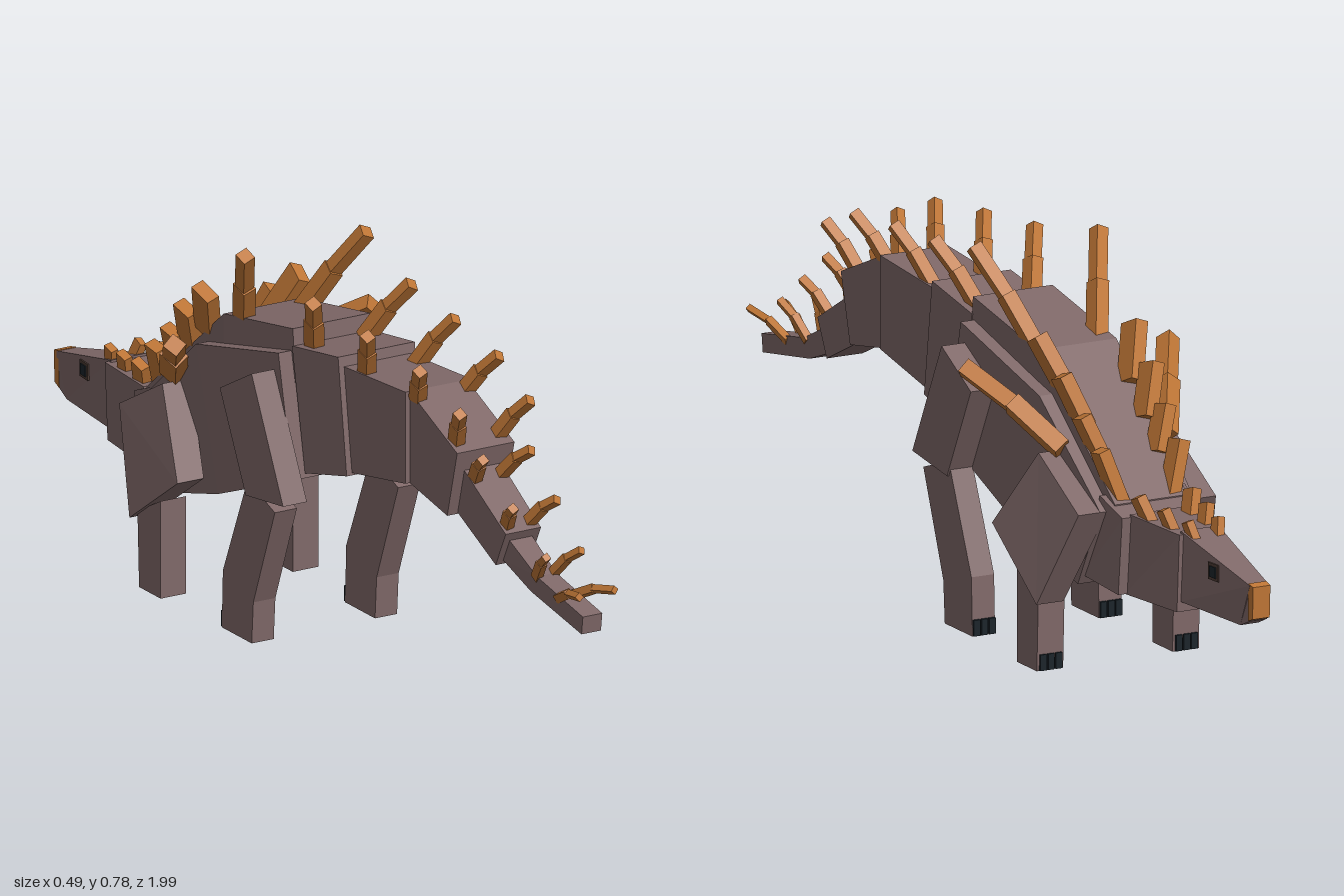
import * as THREE from 'three';

const mat = (name, color) => {
  const m = new THREE.MeshStandardMaterial({ color });
  m.name = name;
  return m;
};

// Solid through four-sided sections: [topZ, topY, bottomZ, bottomY, halfWidth, centreX]
function loft(sections) {
  const pos = [], idx = [];
  for (const [zt, yt, zb, yb, w, cx = 0] of sections) {
    pos.push(cx - w, yb, zb, cx + w, yb, zb, cx + w, yt, zt, cx - w, yt, zt);
  }
  for (let s = 0; s < sections.length - 1; s++) {
    for (let i = 0; i < 4; i++) {
      const a = s * 4 + i, b = s * 4 + (i + 1) % 4;
      idx.push(a, a + 4, b + 4, a, b + 4, b);
    }
  }
  const e = (sections.length - 1) * 4;
  idx.push(0, 1, 2, 0, 2, 3, e, e + 2, e + 1, e, e + 3, e + 2);
  const g = new THREE.BufferGeometry();
  g.setAttribute('position', new THREE.Float32BufferAttribute(pos, 3));
  g.setIndex(idx);
  const flat = g.toNonIndexed();
  flat.computeVertexNormals();
  return flat;
}

export function createModel() {
  const model = new THREE.Group();
  model.name = 'spikedDinosaur';
  const hide = mat('hide', 0x806969);
  const horn = mat('horn', 0xbf7636);
  const claw = mat('claw', 0x1b242a);
  const socket = mat('eyeSocket', 0x4a3932);

  const add = (name, geometry, material) => {
    const mesh = new THREE.Mesh(geometry, material);
    mesh.name = name;
    model.add(mesh);
    return mesh;
  };

  // Square bar between two points
  const bar = (name, a, b, thick, wide, overlap = 0) => {
    const p = new THREE.Vector3(...a), q = new THREE.Vector3(...b);
    const mesh = add(name, new THREE.BoxGeometry(thick, wide, p.distanceTo(q) + overlap), horn);
    mesh.up.set(0, 0, 1);
    mesh.position.copy(p).add(q).multiplyScalar(0.5);
    mesh.lookAt(q);
  };

  // Trunk, tail, neck and head
  const trunk = {
    tailTip: [[0.968, 0.326, 0.963, 0.289, 0.022], [0.797, 0.358, 0.775, 0.321, 0.022], [0.69, 0.41, 0.675, 0.358, 0.026]],
    tailEnd: [[0.711, 0.422, 0.674, 0.348, 0.04], [0.555, 0.512, 0.525, 0.42, 0.042]],
    tailMiddle: [[0.572, 0.551, 0.535, 0.412, 0.065], [0.396, 0.626, 0.396, 0.438, 0.065]],
    tailUpper: [[0.396, 0.626, 0.396, 0.438, 0.075], [0.166, 0.61, 0.198, 0.401, 0.075]],
    tailBase: [[0.166, 0.631, 0.198, 0.396, 0.087], [0, 0.605, 0.048, 0.358, 0.09]],
    body: [[-0.005, 0.594, 0.048, 0.348, 0.118], [-0.316, 0.519, -0.235, 0.235, 0.115], [-0.54, 0.337, -0.45, 0.172, 0.104]],
    back: [[0, 0.64, 0.01, 0.52, 0.088], [-0.257, 0.594, -0.257, 0.45, 0.088], [-0.556, 0.353, -0.54, 0.25, 0.08]],
    neckBase: [[-0.52, 0.365, -0.45, 0.19, 0.094], [-0.594, 0.335, -0.578, 0.178, 0.085]],
    neck: [[-0.59, 0.34, -0.57, 0.176, 0.066], [-0.76, 0.337, -0.75, 0.18, 0.05]],
    head: [[-0.75, 0.342, -0.75, 0.2, 0.042], [-0.988, 0.286, -0.95, 0.198, 0.02], [-0.989, 0.285, -0.988, 0.215, 0.018]]
  };
  for (const [name, sections] of Object.entries(trunk)) add(name, loft(sections), hide);
  add('beak', loft([[-0.982, 0.289, -0.98, 0.213, 0.02], [-1, 0.285, -0.997, 0.22, 0.019]]), horn);

  // Limbs: sections run downwards, front edge first, then back edge
  const limbs = {
    thigh: [[-0.139, 0.492, -0.021, 0.556, 0.027, 0.142], [-0.043, 0.3, 0.096, 0.318, 0.027, 0.142]],
    shin: [[-0.043, 0.33, 0.059, 0.294, 0.025, 0.14], [-0.134, 0.118, -0.021, 0.086, 0.025, 0.14], [-0.138, 0, -0.027, 0, 0.025, 0.14]],
    upperArm: [[-0.54, 0.337, -0.38, 0.425, 0.032, 0.12], [-0.44, 0.139, -0.262, 0.262, 0.03, 0.16]],
    forearm: [[-0.428, 0.155, -0.342, 0.2, 0.029, 0.15], [-0.422, 0, -0.342, 0, 0.029, 0.15]]
  };

  // Paired spikes along back and tail: base point, tip point, thickness
  const spikes = [
    [[0.018, 0.335, 0.87], [0.04, 0.375, 0.985], 0.014],
    [[0.018, 0.355, 0.79], [0.04, 0.42, 0.862], 0.015],
    [[0.025, 0.43, 0.69], [0.05, 0.49, 0.755], 0.018],
    [[0.03, 0.495, 0.58], [0.055, 0.56, 0.652], 0.019],
    [[0.045, 0.555, 0.535], [0.08, 0.645, 0.607], 0.022],
    [[0.05, 0.6, 0.4], [0.09, 0.695, 0.475], 0.023],
    [[0.055, 0.605, 0.22], [0.1, 0.715, 0.297], 0.024],
    [[0.058, 0.605, 0.03], [0.112, 0.73, 0.115], 0.026],
    [[0.065, 0.58, -0.22], [0.138, 0.77, -0.095], 0.029],
    [[0.115, 0.435, -0.4], [0.225, 0.567, -0.215], 0.035]
  ];

  // Paired short plates on shoulders and neck: base, tip, thickness, length
  const plates = [
    [[0.07, 0.53, -0.345], [0.108, 0.632, -0.293], 0.028, 0.052],
    [[0.065, 0.475, -0.412], [0.1, 0.572, -0.377], 0.027, 0.05],
    [[0.06, 0.42, -0.468], [0.092, 0.505, -0.443], 0.025, 0.046],
    [[0.055, 0.35, -0.53], [0.088, 0.452, -0.51], 0.025, 0.042],
    [[0.04, 0.32, -0.635], [0.06, 0.38, -0.612], 0.02, 0.036],
    [[0.032, 0.32, -0.71], [0.048, 0.372, -0.692], 0.018, 0.03],
    [[0.022, 0.315, -0.78], [0.034, 0.363, -0.763], 0.016, 0.026]
  ];

  for (const side of [1, -1]) {
    const label = side > 0 ? 'left' : 'right';
    const flip = ([x, y, z]) => [x * side, y, z];

    for (const [name, sections] of Object.entries(limbs)) {
      add(label + name[0].toUpperCase() + name.slice(1),
        loft(sections.map(([a, b, c, d, w, x]) => [a, b, c, d, w, x * side])), hide);
    }

    // Bent spikes made of a thick root and a thinner tip
    for (const [base, tip, t] of spikes) {
      const mid = base.map((v, i) => v + (tip[i] - v) * 0.48);
      mid[1] += 0.008;
      bar(label + 'SpikeRoot', flip(base), flip(mid), t, t * 1.25, t * 0.3);
      bar(label + 'SpikeTip', flip(mid), flip(tip), t * 0.9, t * 0.95);
    }
    for (const [base, tip, t, len] of plates) bar(label + 'NeckPlate', flip(base), flip(tip), t, len);

    // Three claws on the front of each foot
    for (const [x, z] of [[0.14, -0.139], [0.15, -0.424]]) {
      for (let i = -1; i <= 1; i++) {
        add(label + 'Claw', new THREE.BoxGeometry(0.014, 0.032, 0.008), claw)
          .position.set((x + i * 0.017) * side, 0.017, z);
      }
    }

    // Eye
    for (const [name, size, x, m] of [['EyeSocket', 0.034, 0.031, socket], ['Eye', 0.022, 0.033, claw]]) {
      const eye = add(label + name, new THREE.BoxGeometry(0.006, size, size), m);
      eye.position.set(x * side, 0.286, -0.865);
      eye.rotation.y = 0.095 * side;
    }
  }
  return model;
}
